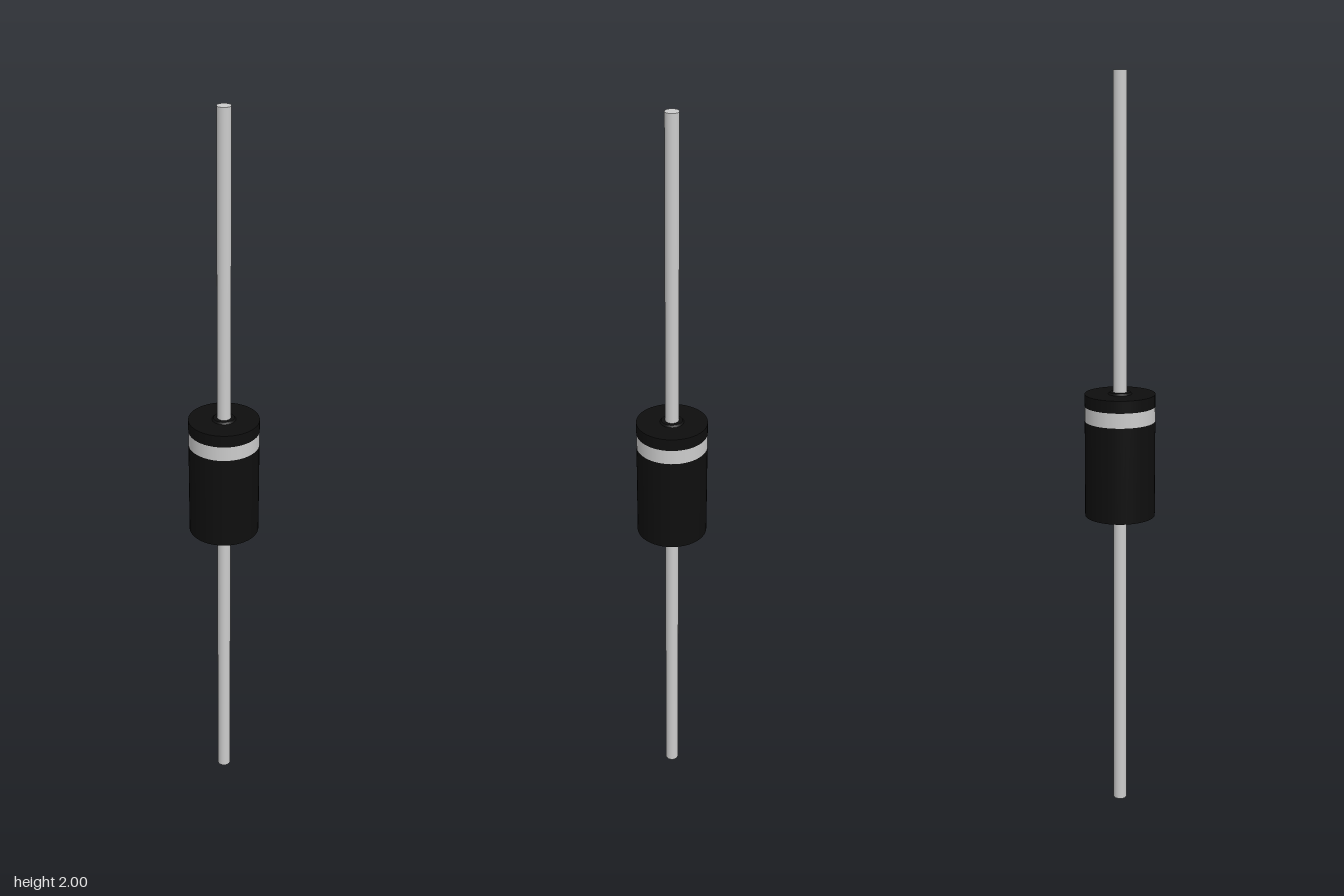
import * as THREE from 'three';

const R = 0.094, LEAD_R = 0.018, COLLAR_R = 0.032;
const BOTTOM = 0.836, BAND_LOW = 1.097, BAND_HIGH = 1.137, TOP = 1.17;

export function createModel() {
  const model = new THREE.Group();
  const black = new THREE.MeshStandardMaterial({ color: 0x0e0e0e });
  const grey = new THREE.MeshStandardMaterial({ color: 0xcccccc });

  // Upright round section between two heights
  function section(name, rLow, rHigh, y0, y1, material, sides = 48, open = false) {
    const mesh = new THREE.Mesh(
      new THREE.CylinderGeometry(rHigh, rLow, y1 - y0, sides, 1, open), material);
    mesh.name = name;
    mesh.position.y = (y0 + y1) / 2;
    model.add(mesh);
  }

  // Moulded body, split by the polarity band
  section('lowerBody', R, R, BOTTOM, BAND_LOW, black);
  section('polarityBand', R, R, BAND_LOW, BAND_HIGH, grey, 48, true);
  section('upperBody', R, R, BAND_HIGH, TOP, black);

  // Slight raised collars where the leads enter the body
  section('lowerCollar', COLLAR_R - 0.004, COLLAR_R, BOTTOM - 0.005, BOTTOM, black, 32);
  section('upperCollar', COLLAR_R, COLLAR_R - 0.004, TOP, TOP + 0.005, black, 32);

  // Wire leads
  section('lowerLead', LEAD_R, LEAD_R, 0, BOTTOM, grey, 32);
  section('upperLead', LEAD_R, LEAD_R, TOP, 2, grey, 32);

  return model;
}
